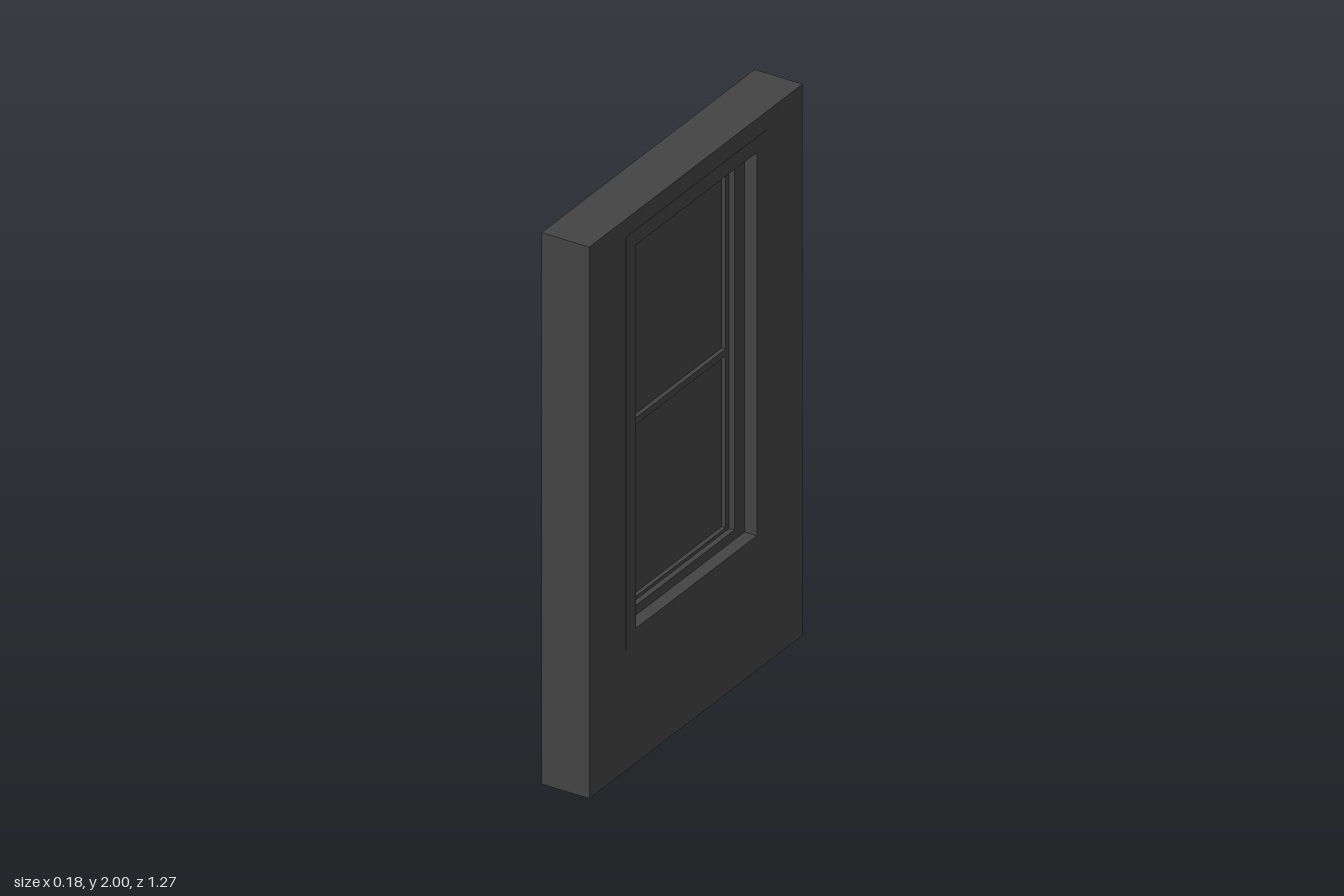
import * as THREE from 'three';

const material = new THREE.MeshStandardMaterial({ color: 0x444444 });

// Rectangle in the wall plane: half width w, bottom y0, top y1
const rect = (w, y0, y1) => ({ w, y0, y1 });

function trace(path, { w, y0, y1 }) {
  path.moveTo(-w, y0);
  path.lineTo(w, y0);
  path.lineTo(w, y1);
  path.lineTo(-w, y1);
  path.closePath();
  return path;
}

// Slab with rectangular openings, centred on x = 0 and lying along z
function frame(name, outer, openings, thickness) {
  const shape = trace(new THREE.Shape(), outer);
  openings.forEach((o) => shape.holes.push(trace(new THREE.Path(), o)));
  const geometry = new THREE.ExtrudeGeometry(shape, { depth: thickness, bevelEnabled: false });
  geometry.translate(0, 0, -thickness / 2);
  geometry.rotateY(Math.PI / 2);
  const mesh = new THREE.Mesh(geometry, material);
  mesh.name = name;
  return mesh;
}

export function createModel() {
  const model = new THREE.Group();
  model.name = 'wallWithWindow';

  const wall = rect(0.635, 0, 2);
  const casing = rect(0.42, 0.435, 1.935);
  const opening = rect(0.36, 0.49, 1.88);
  const sash = rect(0.3, 0.525, 1.847);
  const lowerPane = rect(0.28, 0.537, 1.16);
  const upperPane = rect(0.28, 1.185, 1.835);

  // Nested frames, each thinner than the one around it
  model.add(frame('wall', wall, [casing], 0.18));
  model.add(frame('casing', casing, [opening], 0.183));
  model.add(frame('windowFrame', opening, [sash], 0.09));
  model.add(frame('sash', sash, [lowerPane, upperPane], 0.05));

  // Panes
  model.add(frame('lowerPane', lowerPane, [], 0.02));
  model.add(frame('upperPane', upperPane, [], 0.02));

  return model;
}
